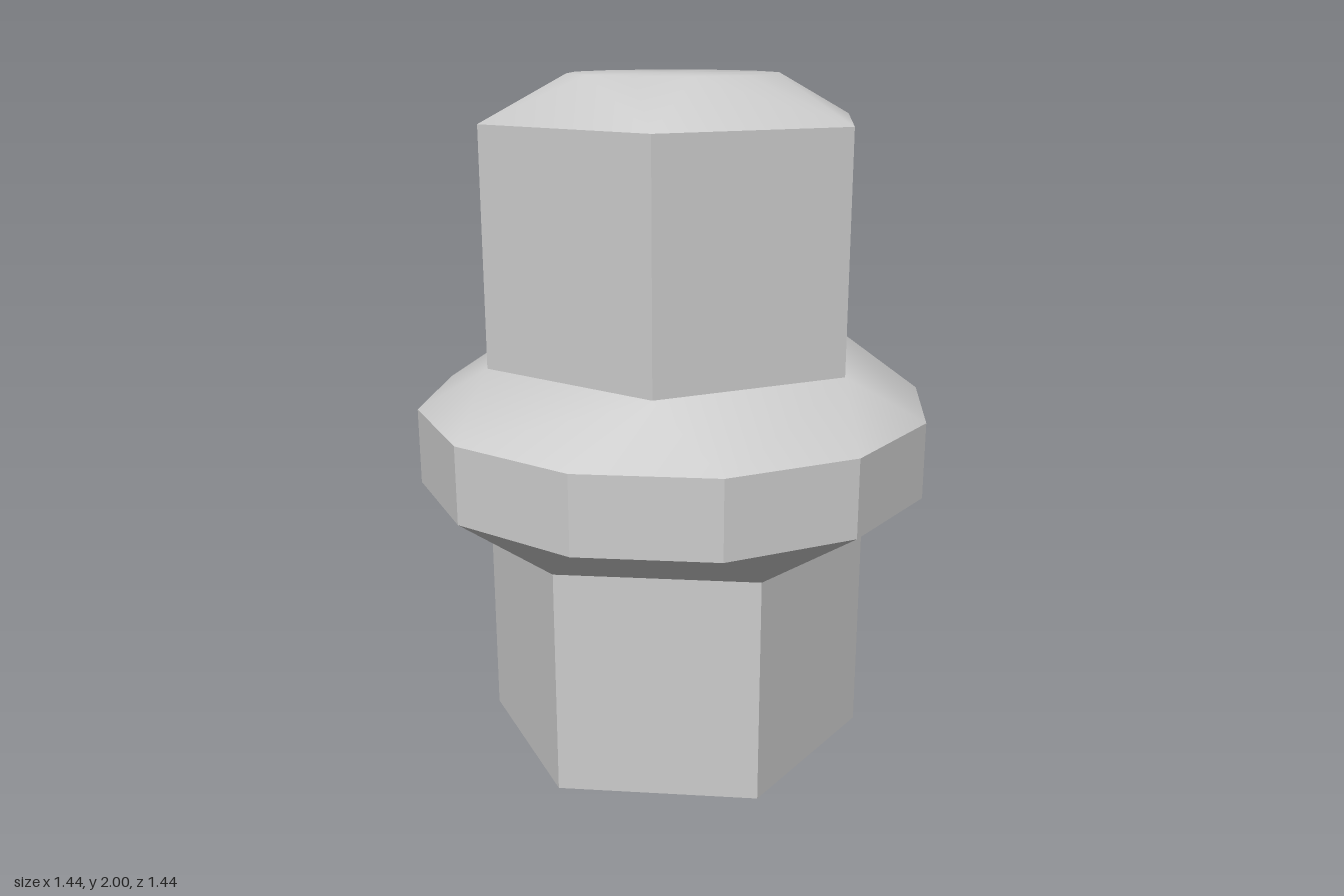
import * as THREE from 'three';

const HEX_R = 0.544, COLLAR_R = 0.718, CAP_R = 0.286;
const COLLAR_Y = 0.106, SHOULDER_Y = 0.249, HEX_TOP = 0.882;

const material = new THREE.MeshStandardMaterial({ color: 0xcccccc });
const flatMaterial = new THREE.MeshStandardMaterial({ color: 0xcccccc, flatShading: true });

function named(name, geometry, mat) {
  const mesh = new THREE.Mesh(geometry, mat);
  mesh.name = name;
  return mesh;
}

// Smooth surface joining a hexagon ring to a twelve-sided ring, optionally closed in the middle
function hexToTwelve(hexY, ringR, ringY, closed) {
  const pos = [], index = [];
  const ring = (count, r, y, start) => {
    for (let i = 0; i < count; i++) {
      const a = THREE.MathUtils.degToRad(start + (360 / count) * i);
      pos.push(r * Math.cos(a), y, r * Math.sin(a));
    }
  };
  ring(6, HEX_R, hexY, 15);
  ring(12, ringR, ringY, 0);
  const tri = (a, b, c) => (ringR > HEX_R ? index.push(a, c, b) : index.push(a, b, c));
  const d = j => 6 + (j % 12);
  for (let k = 0; k < 6; k++) {
    const next = (k + 1) % 6;
    tri(k, d(2 * k), d(2 * k + 1));
    tri(k, d(2 * k + 1), d(2 * k + 2));
    tri(k, d(2 * k + 2), next);
  }
  if (closed) {
    pos.push(0, ringY, 0);
    for (let j = 0; j < 12; j++) index.push(18, d(j + 1), d(j));
  }
  const g = new THREE.BufferGeometry();
  g.setAttribute('position', new THREE.Float32BufferAttribute(pos, 3));
  g.setIndex(index);
  g.computeVertexNormals();
  return g;
}

// One end: sloped shoulder, hexagonal shaft and chamfered cap
function createEnd(name) {
  const end = new THREE.Group();
  end.name = name;
  const height = HEX_TOP - SHOULDER_Y;
  const shaft = named('hexShaft',
    new THREE.CylinderGeometry(HEX_R, HEX_R, height, 6, 1, true, Math.PI / 12), flatMaterial);
  shaft.position.y = SHOULDER_Y + height / 2;
  end.add(
    shaft,
    named('shoulder', hexToTwelve(SHOULDER_Y, COLLAR_R, COLLAR_Y, false), material),
    named('cap', hexToTwelve(HEX_TOP, CAP_R, 1, true), material)
  );
  return end;
}

export function createModel() {
  const model = new THREE.Group();
  model.name = 'hexFitting';

  // Twelve-sided collar around the middle
  const collar = named('collar',
    new THREE.CylinderGeometry(COLLAR_R, COLLAR_R, COLLAR_Y * 2, 12, 1, true), flatMaterial);
  collar.position.y = 1;

  // The lower end is the upper one turned over
  const upper = createEnd('upperEnd');
  const lower = createEnd('lowerEnd');
  upper.position.y = lower.position.y = 1;
  lower.rotation.x = Math.PI;

  model.add(collar, upper, lower);
  return model;
}
